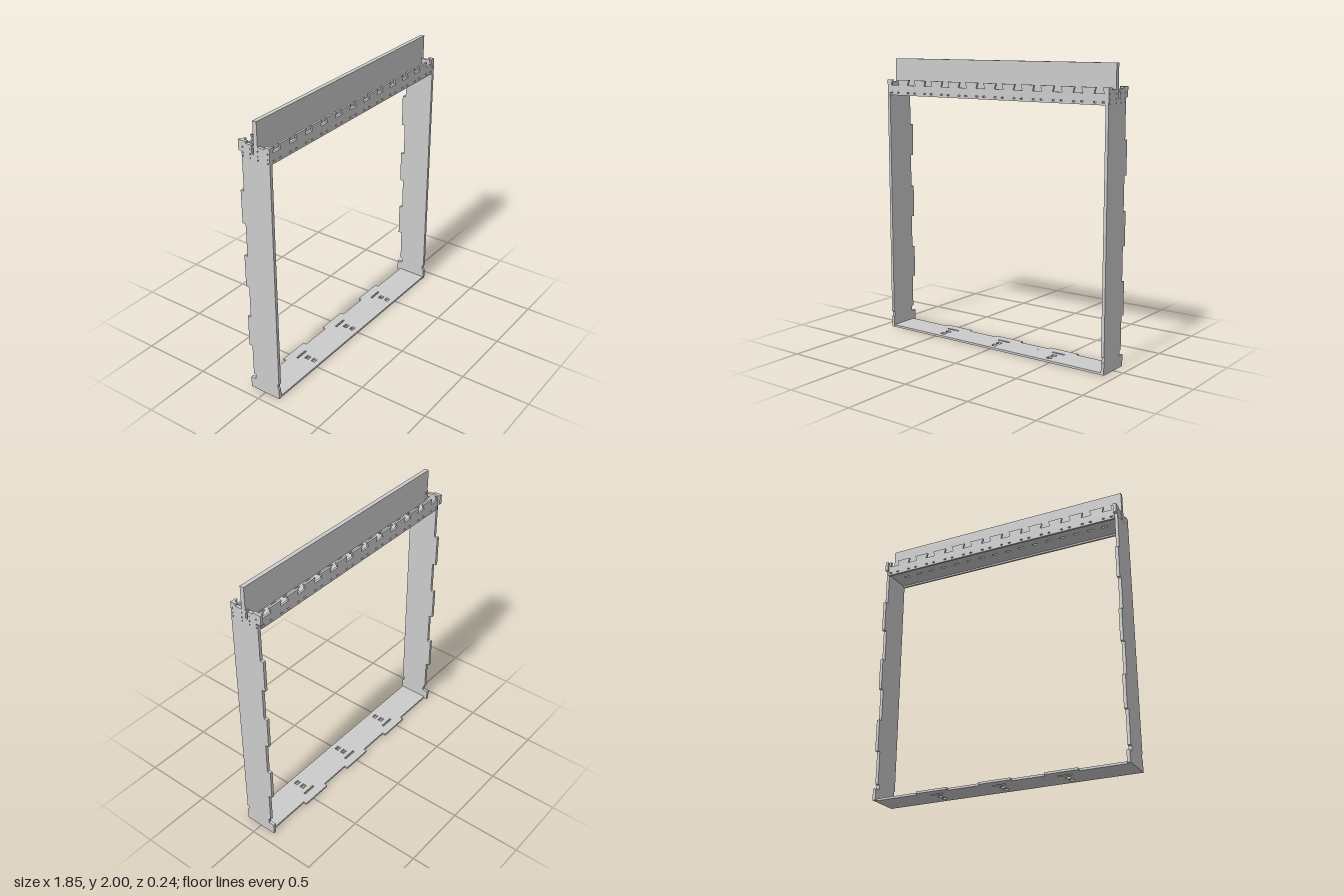
import * as THREE from 'three';

const MAT = new THREE.MeshStandardMaterial({ color: 0xcccccc, flatShading: true });
const T = 0.022; // sheet thickness

const poly = (pts) => pts.map(([a, b]) => new THREE.Vector2(a, b));
const rect = (cx, cy, w, h) => [
  [cx - w / 2, cy - h / 2], [cx + w / 2, cy - h / 2],
  [cx + w / 2, cy + h / 2], [cx - w / 2, cy + h / 2],
];

// Flat sheet cut from an outline with holes
function sheet(outline, holes, depth) {
  const shape = new THREE.Shape(poly(outline));
  holes.forEach((h) => shape.holes.push(new THREE.Path(poly(h))));
  return new THREE.ExtrudeGeometry(shape, { depth, bevelEnabled: false });
}

function add(group, name, geometry, x = 0, y = 0, z = 0) {
  const mesh = new THREE.Mesh(geometry, MAT);
  mesh.name = name;
  mesh.position.set(x, y, z);
  group.add(mesh);
  return mesh;
}

// Side upright, outline in (z, y), with locating tabs along the back
function uprightGeometry() {
  const out = [[0.12, 0], [0.12, 0.08], [0.11, 0.085], [0.11, 0.115], [0.12, 0.12],
    [0.12, 1.85], [0.08, 1.85], [0.08, 1.835], [0.03, 1.835], [0.03, 1.84], [-0.005, 1.84],
    [-0.005, 1.825], [-0.018, 1.825], [-0.018, 1.838], [-0.06, 1.838], [-0.06, 1.85],
    [-0.12, 1.85], [-0.12, 1.78], [-0.095, 1.78]];
  for (const y of [1.395, 0.93, 0.465]) {
    out.push([-0.095, y + 0.115], [-0.12, y + 0.115], [-0.12, y - 0.115], [-0.095, y - 0.115]);
  }
  out.push([-0.095, 0.12], [-0.078, 0.115], [-0.078, 0.08], [-0.12, 0.08], [-0.12, 0]);
  const holes = [rect(-0.008, 1.8, 0.015, 0.042)];
  for (const z of [0.106, 0.03, -0.03, -0.085]) {
    for (const y of [1.75, 1.775, 1.81]) holes.push(rect(z, y, 0.006, 0.01));
  }
  return sheet(out, holes, T).rotateY(-Math.PI / 2);
}

// Beam face with dovetail notches along its upper edge
function beamFaceGeometry() {
  const w = 0.902, out = [[-w, 1.74], [w, 1.74], [w, 1.85]];
  const holes = [];
  for (let i = 11; i >= 0; i--) {
    const x = (i - 5.5) * 0.155;
    out.push([x + 0.025, 1.85], [x + 0.037, 1.812], [x - 0.037, 1.812], [x - 0.025, 1.85]);
    for (const s of [-1, 1]) holes.push(rect(x + s * 0.03, 1.758, 0.018, 0.01));
  }
  out.push([-w, 1.85]);
  return sheet(out, holes, 0.015);
}

// Shelf closing the beam, with a row of dovetail slots beside the board
function shelfGeometry() {
  const holes = [];
  for (let i = 0; i < 16; i++) {
    const x = (i - 7.5) * 0.106;
    holes.push([[x - 0.018, 0.003], [x + 0.018, 0.003], [x + 0.024, 0.018], [x - 0.024, 0.018]]);
  }
  return sheet(rect(0, -0.007, 1.804, 0.2), holes, 0.015).rotateX(-Math.PI / 2);
}

// Base plate, outline in (x, -z), with tabs on the back edge and slot groups
function baseGeometry() {
  const w = 0.902, out = [[-w, -0.118], [w, -0.118], [w, 0.095]];
  const holes = [];
  for (const x of [0.465, 0, -0.465]) {
    out.push([x + 0.115, 0.095], [x + 0.115, 0.12], [x - 0.115, 0.12], [x - 0.115, 0.095]);
    holes.push(rect(x, 0.047, 0.1, 0.014), rect(x, -0.01, 0.036, 0.032), rect(x, -0.065, 0.036, 0.03));
  }
  out.push([-w, 0.095]);
  return sheet(out, holes, 0.015).rotateX(-Math.PI / 2);
}

export function createModel() {
  const model = new THREE.Group();
  model.name = 'frame';

  // Uprights
  const upright = uprightGeometry();
  add(model, 'leftUpright', upright, 0.923);
  add(model, 'rightUpright', upright, -0.923 + T);

  // Base
  add(model, 'basePlate', baseGeometry());

  // Top beam
  const face = beamFaceGeometry();
  add(model, 'beamFront', face, 0, 0, 0.104);
  add(model, 'beamBack', face, 0, 0, -0.106);
  add(model, 'beamShelf', shelfGeometry(), 0, 1.752);

  // Upright board: full width above the uprights, narrower inside the beam
  add(model, 'board', sheet([[-0.9, 1.767], [0.9, 1.767], [0.9, 1.84], [0.923, 1.84],
    [0.923, 2], [-0.923, 2], [-0.923, 1.84], [-0.9, 1.84]], [], 0.03));

  return model;
}
